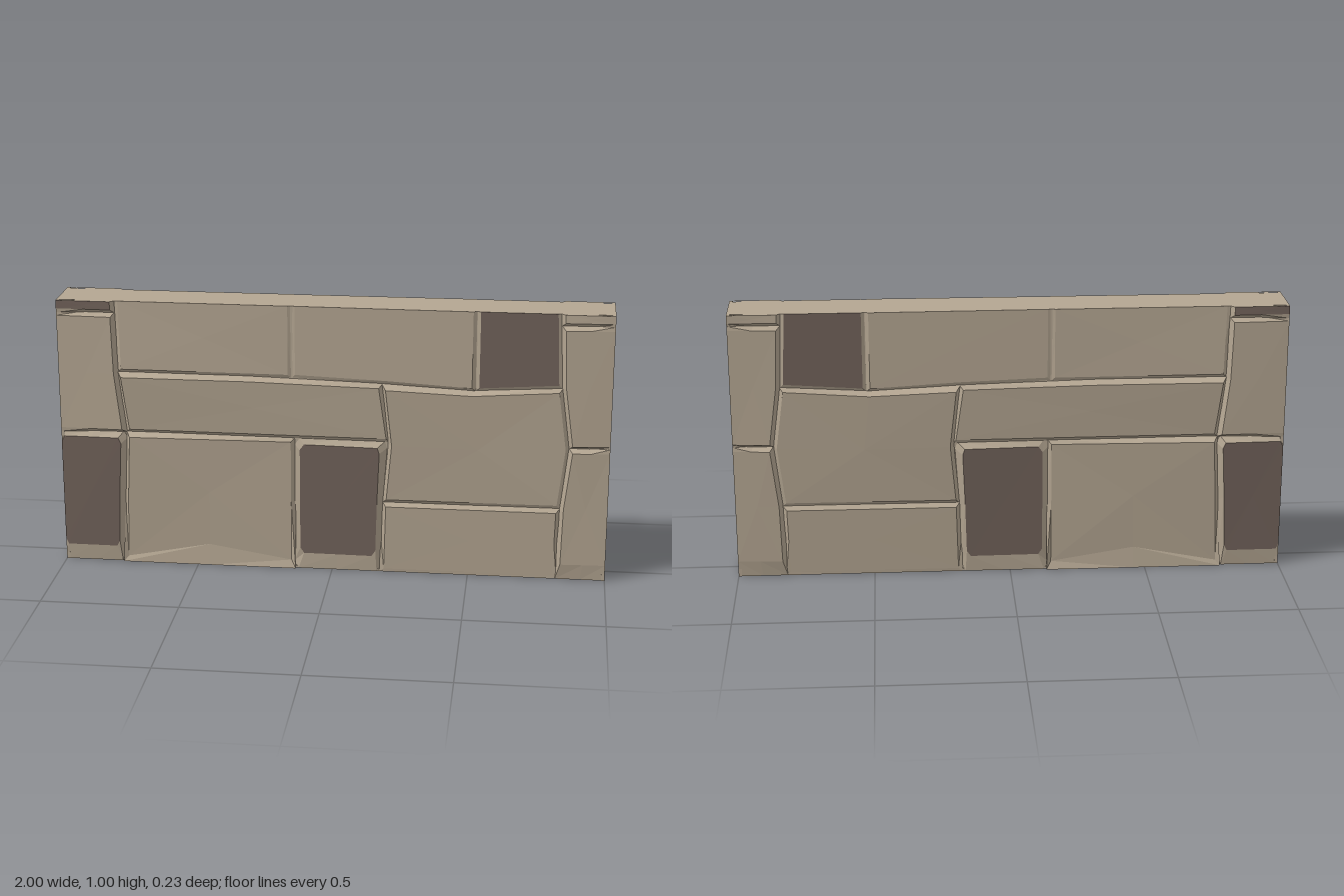
import * as THREE from 'three';

const stone = new THREE.MeshStandardMaterial({ color: 0xb4a692 });
stone.name = 'stone';
const darkStone = new THREE.MeshStandardMaterial({ color: 0x72635b });
darkStone.name = 'dark stone';

const { lerp, clamp } = THREE.MathUtils;
const BASE = 0.079; // depth where the bevels sink into the core

// A joint line: straight segments through [position, value] points
function joint(...points) {
  return (at) => {
    let i = 1;
    while (i < points.length - 1 && at > points[i][0]) i++;
    const [a, b] = [points[i - 1], points[i]];
    return lerp(a[1], b[1], clamp((at - a[0]) / (b[0] - a[0]), 0, 1));
  };
}
const level = (value) => () => value;

// Upright joints give x for a height, bed joints give y for an x
const leftEnd = level(-1);
const rightEnd = level(1);
const ground = level(0);
const crest = level(1);
const leftJoint = joint([0, -0.778], [0.27, -0.768], [0.5, -0.755], [0.73, -0.782], [1, -0.79]);
const rightJoint = joint([0, 0.822], [0.27, 0.828], [0.5, 0.855], [0.72, 0.824], [1, 0.812]);
const middleJoint = joint([0, 0.178], [0.27, 0.185], [0.46, 0.192], [0.51, 0.21], [0.72, 0.18]);
const lowerJoint = level(-0.138);
const upperJoint = level(-0.148);
const darkJoint = level(0.515);
const midBed = joint([-1, 0.506], [-0.75, 0.508], [0.2, 0.503], [1, 0.503]);
const upperBed = joint([-0.78, 0.735], [-0.1, 0.732], [0.18, 0.722], [0.51, 0.705], [0.82, 0.725]);
const rightBed = level(0.27);
const capBed = level(0.957);

// Heights of the worn lower edges of the bottom course
const plainSill = level(0.06);
const lowSill = level(0.012);
const wornSill = joint([-0.76, 0.02], [-0.45, 0.08], [-0.16, 0.03]);

// depth holds the corners: bottom left, bottom right, top left, top right
const blocks = [
  // Top course
  { name: 'topLeftCapBlock', left: leftEnd, right: leftJoint, bottom: capBed, top: crest, depth: [0.094, 0.098, 0.094, 0.096], dark: true },
  { name: 'topBlockA', left: leftJoint, right: upperJoint, bottom: upperBed, top: crest, depth: [0.092, 0.086, 0.082, 0.084] },
  { name: 'topBlockB', left: upperJoint, right: darkJoint, bottom: upperBed, top: crest, depth: [0.084, 0.09, 0.083, 0.088] },
  { name: 'topDarkBlock', left: darkJoint, right: rightJoint, bottom: upperBed, top: crest, depth: [0.086, 0.086, 0.086, 0.086], dark: true },
  { name: 'topRightCapBlock', left: rightJoint, right: rightEnd, bottom: capBed, top: crest, depth: [0.098, 0.094, 0.096, 0.094] },
  // Middle course
  { name: 'upperLeftBlock', left: leftEnd, right: leftJoint, bottom: midBed, top: capBed, depth: [0.094, 0.107, 0.094, 0.102] },
  { name: 'middleLongBlock', left: leftJoint, right: middleJoint, bottom: midBed, top: upperBed, depth: [0.096, 0.09, 0.112, 0.098] },
  { name: 'rightLargeBlock', left: middleJoint, right: rightJoint, bottom: rightBed, top: upperBed, depth: [0.092, 0.086, 0.117, 0.095] },
  { name: 'upperRightBlock', left: rightJoint, right: rightEnd, bottom: midBed, top: capBed, depth: [0.106, 0.094, 0.104, 0.094] },
  // Bottom course
  { name: 'lowerLeftDarkBlock', left: leftEnd, right: leftJoint, bottom: ground, top: midBed, depth: [0.094, 0.096, 0.094, 0.105], sill: plainSill, dark: true, rounded: true },
  { name: 'lowerWideBlock', left: leftJoint, right: lowerJoint, bottom: ground, top: midBed, depth: [0.09, 0.087, 0.113, 0.092], sill: wornSill, toe: 0.098 },
  { name: 'lowerMiddleDarkBlock', left: lowerJoint, right: middleJoint, bottom: ground, top: midBed, depth: [0.089, 0.093, 0.093, 0.102], sill: plainSill, dark: true, rounded: true },
  { name: 'lowerRightBlock', left: middleJoint, right: rightJoint, bottom: ground, top: rightBed, depth: [0.091, 0.09, 0.098, 0.096], sill: lowSill },
  { name: 'bottomRightBlock', left: rightJoint, right: rightEnd, bottom: ground, top: midBed, depth: [0.1, 0.094, 0.106, 0.094], sill: plainSill },
];

// Point at (s, t) across a block, on its face or on the joint lines around it
function blockPoint(block, s, t, onFace) {
  const { left, right, bottom, top, depth, sill, rounded, toe = 0.09 } = block;
  const gap = onFace ? (rounded ? 0.02 : 0.013) : -0.003;
  const inset = (edge, end) => (edge === end ? 0 : gap);
  const middle = (bottom(0) + top(0)) / 2;
  const along = lerp(left(middle), right(middle), s);
  const low = bottom === ground ? (onFace ? sill(along) : 0) : bottom(along) + gap;
  const y = lerp(low, top(along) - inset(top, crest), t);
  const x = lerp(left(y) + inset(left, leftEnd), right(y) - inset(right, rightEnd), s);
  const faceDepth = lerp(lerp(depth[0], depth[1], s), lerp(depth[2], depth[3], s), t);
  const atEnd = Math.abs(x) === 1;
  const baseDepth = bottom === ground && t === 0 ? toe : atEnd ? 0.092 : BASE;
  return [x, y, onFace ? faceDepth : baseDepth];
}

// One block: a fan for the face (group 0) and sloping bevels (group 1)
function makeBlock(block, side) {
  const steps = block.rounded ? [0.05, 0.5, 0.95] : [0, 0.5];
  const walk = [
    ...steps.map((k) => [k, 0]),
    ...steps.map((k) => [1, k]),
    ...steps.map((k) => [1 - k, 1]),
    ...steps.map((k) => [0, 1 - k]),
  ];
  const face = walk.map(([s, t]) => blockPoint(block, s, t, true));
  const outer = walk.map(([s, t]) => blockPoint(block, s, t, false));
  const centre = blockPoint(block, 0.5, 0.5, true);
  const n = walk.length;
  const positions = [];
  const tri = (a, b, c) => {
    for (const p of side > 0 ? [a, b, c] : [a, c, b]) positions.push(p[0], p[1], p[2] * side);
  };
  for (let i = 0; i < n; i++) tri(centre, face[i], face[(i + 1) % n]);
  for (let i = 0; i < n; i++) {
    const j = (i + 1) % n;
    tri(outer[i], outer[j], face[j]);
    tri(outer[i], face[j], face[i]);
  }
  const geometry = new THREE.BufferGeometry();
  geometry.setAttribute('position', new THREE.Float32BufferAttribute(positions, 3));
  geometry.addGroup(0, n * 3, 0);
  geometry.addGroup(n * 3, n * 6, 1);
  geometry.computeVertexNormals();
  const mesh = new THREE.Mesh(geometry, [block.dark ? darkStone : stone, stone]);
  mesh.name = block.name;
  return mesh;
}

export function createModel() {
  const wall = new THREE.Group();
  wall.name = 'stoneWall';

  // Solid slab behind the blocks
  const core = new THREE.Mesh(new THREE.BoxGeometry(2, 1, 0.162), stone);
  core.name = 'core';
  core.position.y = 0.5;
  wall.add(core);

  // Square ends and foot that close the slab flush with the blocks
  for (const side of [1, -1]) {
    const end = new THREE.Mesh(new THREE.BoxGeometry(0.012, 1, 0.184), stone);
    end.name = side > 0 ? 'leftEnd' : 'rightEnd';
    end.position.set(side * 0.994, 0.5, 0);
    wall.add(end);
  }
  const foot = new THREE.Mesh(new THREE.BoxGeometry(2, 0.008, 0.178), stone);
  foot.name = 'foot';
  foot.position.y = 0.004;
  wall.add(foot);

  // Blocks on the front, mirrored on the back
  for (const side of [1, -1]) {
    const group = new THREE.Group();
    group.name = side > 0 ? 'frontBlocks' : 'backBlocks';
    for (const block of blocks) group.add(makeBlock(block, side));
    wall.add(group);
  }
  return wall;
}
